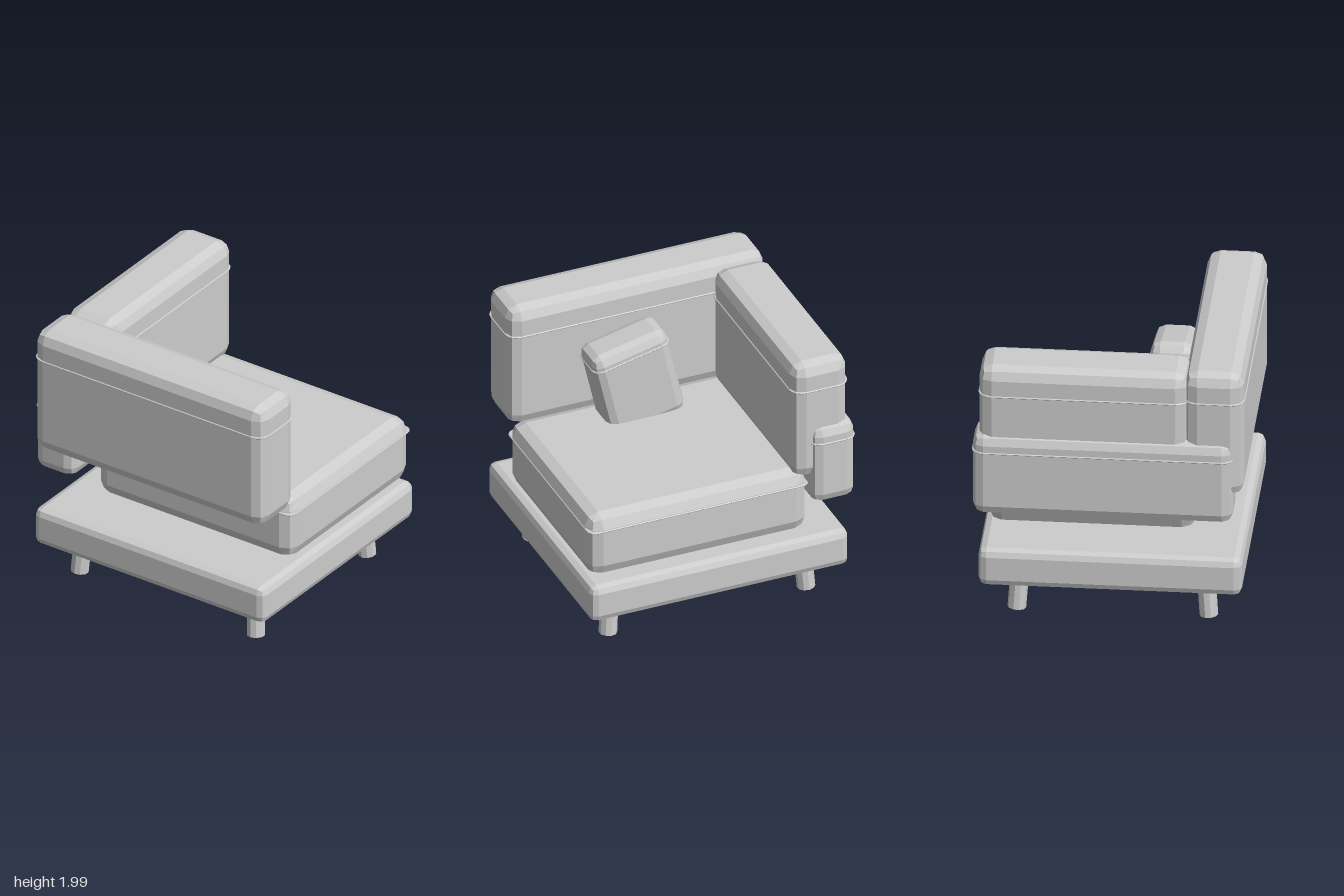
import * as THREE from 'three';
import { RoundedBoxGeometry } from 'three/addons/geometries/RoundedBoxGeometry.js';

const fabric = new THREE.MeshStandardMaterial({ color: 0xcccccc, flatShading: true });
fabric.name = 'light grey';

function addMesh(parent, name, geometry) {
  const mesh = new THREE.Mesh(geometry, fabric);
  mesh.name = name;
  parent.add(mesh);
  return mesh;
}

// Block with two-facet edges, centred on the origin
const block = (size, r) => new RoundedBoxGeometry(size[0], size[1], size[2], 1, r);

// Thin piping that follows the rounded outline of a cushion
function pipingGeometry(w, d, r) {
  const a = w / 2, b = d / 2, s = new THREE.Shape();
  s.moveTo(-a + r, -b);
  s.lineTo(a - r, -b);
  s.absarc(a - r, -b + r, r, -Math.PI / 2, 0);
  s.lineTo(a, b - r);
  s.absarc(a - r, b - r, r, 0, Math.PI / 2);
  s.lineTo(-a + r, b);
  s.absarc(-a + r, b - r, r, Math.PI / 2, Math.PI);
  s.lineTo(-a, -b + r);
  s.absarc(-a + r, -b + r, r, Math.PI, Math.PI * 1.5);
  const g = new THREE.ExtrudeGeometry(s, {
    depth: 0.004, curveSegments: 2, bevelEnabled: true,
    bevelThickness: 0.004, bevelSize: 0.004, bevelSegments: 1,
  });
  return g.translate(0, 0, -0.002).rotateX(-Math.PI / 2);
}

// Cushion from its min and max corners, with piping at height seamY above its centre
function cushion(parent, name, min, max, r, seamY, seamR = r) {
  const size = max.map((v, i) => v - min[i]);
  const group = new THREE.Group();
  group.name = name;
  group.position.set(...max.map((v, i) => (v + min[i]) / 2));
  addMesh(group, name + 'Body', block(size, r));
  addMesh(group, name + 'Piping', pipingGeometry(size[0] + 0.006, size[2] + 0.006, seamR)).position.y = seamY;
  parent.add(group);
  return group;
}

export function createModel() {
  const model = new THREE.Group();
  model.name = 'armchair';

  // Base platform
  addMesh(model, 'base', block([1.95, 0.285, 1.83], 0.055)).position.set(0.015, 0.407, 0.015);

  // Four slightly splayed legs
  for (const sx of [-1, 1]) {
    for (const sz of [-1, 1]) {
      const leg = addMesh(model, 'leg', new THREE.CylinderGeometry(0.065, 0.065, 0.29, 10));
      leg.position.set(0.0125 + sx * 0.737, 0.15, 0.0175 + sz * 0.657);
      leg.rotation.set(-sz * 0.07, 0, sx * 0.07);
    }
  }

  // Seat, back, arm and the low outer arm panel
  cushion(model, 'seat', [-0.67, 0.6, -0.865], [0.985, 1.09, 0.588], 0.1, 0.135, 0.06);
  cushion(model, 'back', [-0.957, 1.035, 0.53], [0.987, 1.985, 0.942], 0.09, 0.257);
  cushion(model, 'arm', [-0.96, 1.045, -0.897], [-0.54, 1.968, 0.56], 0.09, 0.25);
  cushion(model, 'outerArm', [-0.995, 0.84, -0.938], [-0.665, 1.46, 0.87], 0.075, 0.18);

  // Loose pillow leaning sideways on the seat
  const pillow = cushion(model, 'pillow', [-0.155, 1.0, 0.215], [0.425, 1.7, 0.52], 0.07, 0.25);
  pillow.rotation.z = -0.225;

  return model;
}
